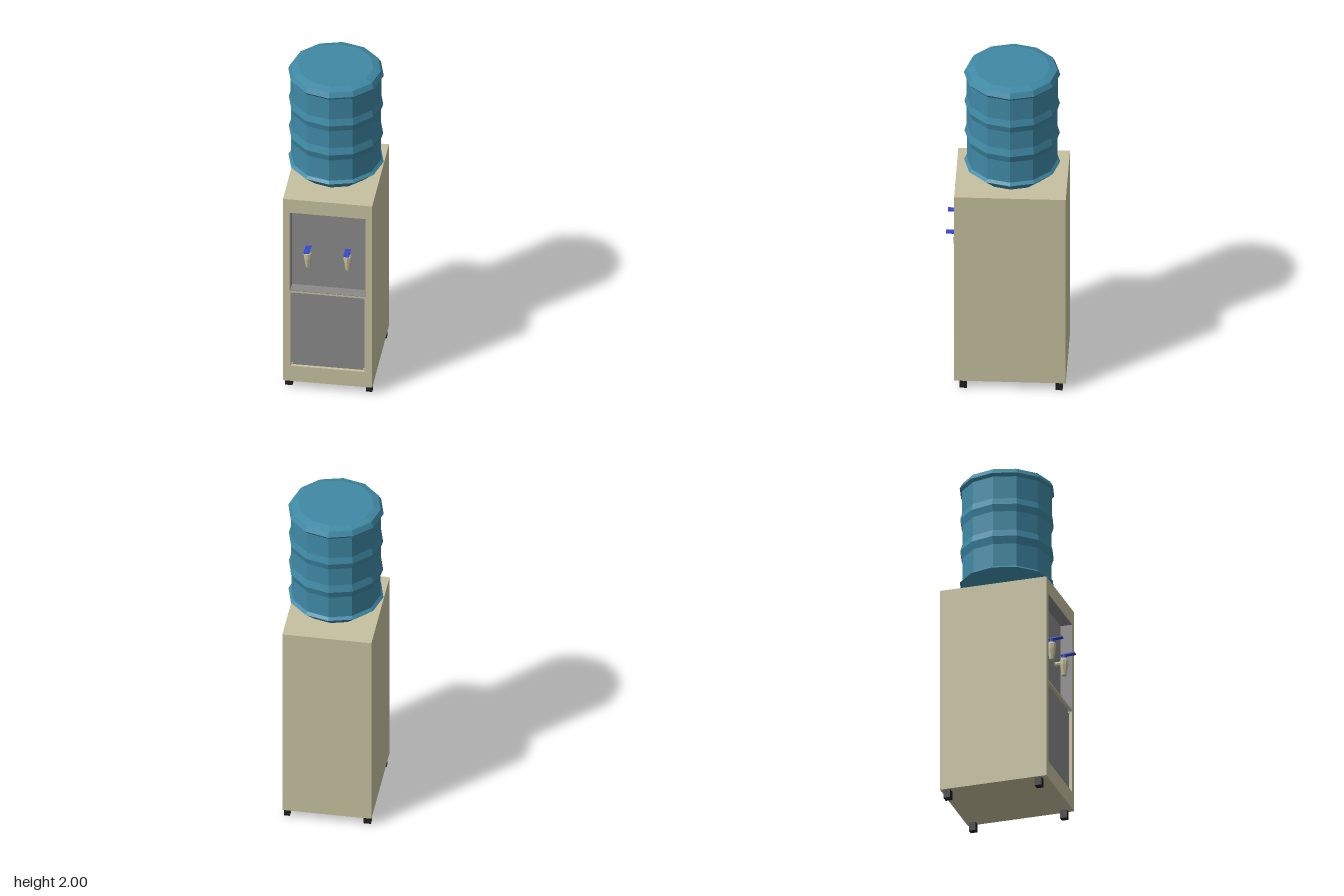
import * as THREE from 'three';

const mat = (name, color, extra = {}) => {
  const m = new THREE.MeshStandardMaterial({ color, ...extra });
  m.name = name;
  return m;
};

export function createModel() {
  const cream = mat('cream', 0xc6c19f, { flatShading: true });
  const grey = mat('grey', 0x8a8a8a);
  const blue = mat('lever blue', 0x364bd2, { flatShading: true });
  const teal = mat('bottle teal', 0x3f89a5, { flatShading: true, side: THREE.DoubleSide });
  const black = mat('foot black', 0x1f1f1f);

  const root = new THREE.Group();
  root.name = 'waterCooler';

  const add = (parent, name, geometry, material, x = 0, y = 0, z = 0) => {
    const mesh = new THREE.Mesh(geometry, material);
    mesh.name = name;
    mesh.position.set(x, y, z);
    parent.add(mesh);
    return mesh;
  };
  // Box given by its limits on each axis
  const box = (parent, name, material, x0, x1, y0, y1, z0, z1) =>
    add(parent, name, new THREE.BoxGeometry(x1 - x0, y1 - y0, z1 - z0), material,
      (x0 + x1) / 2, (y0 + y1) / 2, (z0 + z1) / 2);
  const rect = (C, x0, x1, y0, y1) =>
    new C([[x0, y0], [x1, y0], [x1, y1], [x0, y1]].map(p => new THREE.Vector2(...p)));

  // Cabinet: solid rear and a front frame with two openings
  const W = 0.253, BOTTOM = 0.05, TOP = 1.28, BACK = -0.34, FRONT = 0.287, RECESS = 0.217;
  box(root, 'cabinet', cream, -W, W, BOTTOM, TOP, BACK, RECESS);
  const frame = rect(THREE.Shape, -W, W, BOTTOM, TOP);
  frame.holes.push(rect(THREE.Path, -0.215, 0.215, 0.66, 1.19));
  frame.holes.push(rect(THREE.Path, -0.21, 0.21, 0.153, 0.65));
  add(root, 'frontFrame',
    new THREE.ExtrudeGeometry(frame, { depth: FRONT - RECESS, bevelEnabled: false }),
    cream, 0, 0, RECESS);

  // Grey lining of the dispensing recess
  const t = 0.003, lip = FRONT - 0.001;
  box(root, 'recessBack', grey, -0.215, 0.215, 0.66, 1.19, RECESS, RECESS + t);
  box(root, 'recessFloor', grey, -0.215, 0.215, 0.66, 0.66 + t, RECESS, lip);
  box(root, 'recessCeiling', grey, -0.215, 0.215, 1.19 - t, 1.19, RECESS, lip);
  for (const s of [-1, 1])
    box(root, 'recessSide', grey, s * 0.2135 - t / 2, s * 0.2135 + t / 2, 0.66, 1.19, RECESS, lip);

  // Lower door panel with corner studs
  box(root, 'lowerPanel', grey, -0.21, 0.21, 0.153, 0.65, RECESS, FRONT - 0.018);
  for (const x of [-0.203, 0.203])
    for (const y of [0.162, 0.641])
      box(root, 'panelStud', cream, x - 0.005, x + 0.005, y - 0.005, y + 0.005,
        FRONT - 0.018, FRONT - 0.014);

  // Feet
  for (const [x0, x1] of [[-0.247, -0.204], [0.213, 0.248]])
    for (const z of [-0.302, 0.236])
      box(root, 'foot', black, x0, x1, 0, BOTTOM, z - 0.02, z + 0.02);

  // Taps: pipe from the recess, tapered spout, neck and thin lever
  for (const x of [-0.113, 0.113]) {
    const tap = new THREE.Group();
    tap.name = 'tap';
    tap.position.set(x, 0, 0.274);
    root.add(tap);
    const pipe = add(tap, 'tapPipe', new THREE.CylinderGeometry(0.014, 0.014, 0.055, 8),
      cream, 0, 0.905, -0.029);
    pipe.rotation.x = Math.PI / 2;
    const spout = [[0, 0.83], [0.014, 0.83], [0.024, 0.89], [0.025, 0.92], [0.017, 0.934], [0, 0.934]]
      .map(p => new THREE.Vector2(...p));
    add(tap, 'spout', new THREE.LatheGeometry(spout, 8), cream);
    add(tap, 'leverNeck', new THREE.CylinderGeometry(0.013, 0.015, 0.024, 8), blue, 0, 0.943, 0);
    const lever = add(tap, 'lever', new THREE.BoxGeometry(0.032, 0.007, 0.082), blue, 0, 0.956, 0.023);
    lever.rotation.x = -0.06;
  }

  // Twelve-sided ribbed bottle
  const profile = [
    [0, 1.27], [0.14, 1.27], [0.19, 1.3], [0.27, 1.373], [0.254, 1.388],
    [0.254, 1.525], [0.268, 1.568], [0.256, 1.61],
    [0.256, 1.725], [0.268, 1.765], [0.257, 1.805],
    [0.257, 1.94], [0.271, 1.957], [0.255, 1.987], [0.213, 2], [0, 2],
  ].map(p => new THREE.Vector2(...p));
  add(root, 'bottle', new THREE.LatheGeometry(profile, 12), teal, 0, 0, -0.027);

  return root;
}
